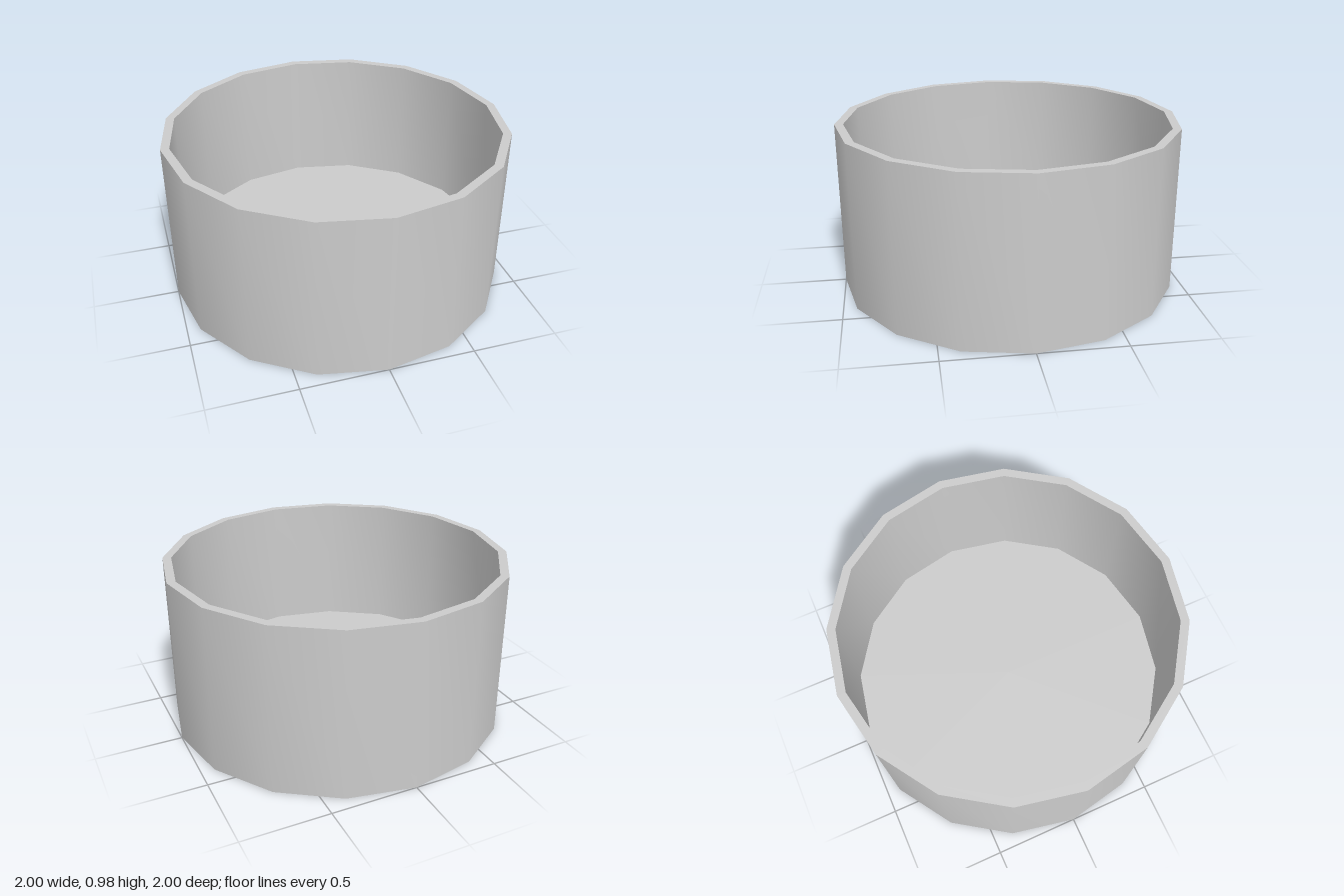
import * as THREE from 'three';
import { toCreasedNormals } from 'three/addons/utils/BufferGeometryUtils.js';

const SIDES = 16;
const HEIGHT = 0.98;
const OUTER = 1, INNER = 0.95, FOOT = 0.9;
const FLOOR_TOP = 0.18, FLOOR_BOTTOM = 0.165, STEP = 0.05;

// Revolves a profile into a 16-sided part, smooth around and sharp at corners
function revolve(name, points, material) {
  const profile = points.map(([r, y]) => new THREE.Vector2(r, y));
  const geometry = toCreasedNormals(new THREE.LatheGeometry(profile, SIDES), Math.PI / 6);
  const mesh = new THREE.Mesh(geometry, material);
  mesh.name = name;
  return mesh;
}

export function createModel() {
  const group = new THREE.Group();
  group.name = 'roundContainer';
  const material = new THREE.MeshStandardMaterial({ color: 0xcccccc });

  // Outer wall with its flat rims, the stepped foot recess under the floor
  const wall = revolve('wall', [
    [FOOT, FLOOR_BOTTOM], [FOOT, STEP], [INNER, STEP], [INNER, 0],
    [OUTER, 0], [OUTER, HEIGHT], [INNER, HEIGHT], [INNER, FLOOR_TOP],
  ], material);

  // Thin floor closing the container above the recess
  const floorTop = revolve('floorTop', [[INNER, FLOOR_TOP], [0, FLOOR_TOP]], material);
  const floorUnderside = revolve('floorUnderside', [[0, FLOOR_BOTTOM], [FOOT, FLOOR_BOTTOM]], material);

  group.add(wall, floorTop, floorUnderside);
  return group;
}
